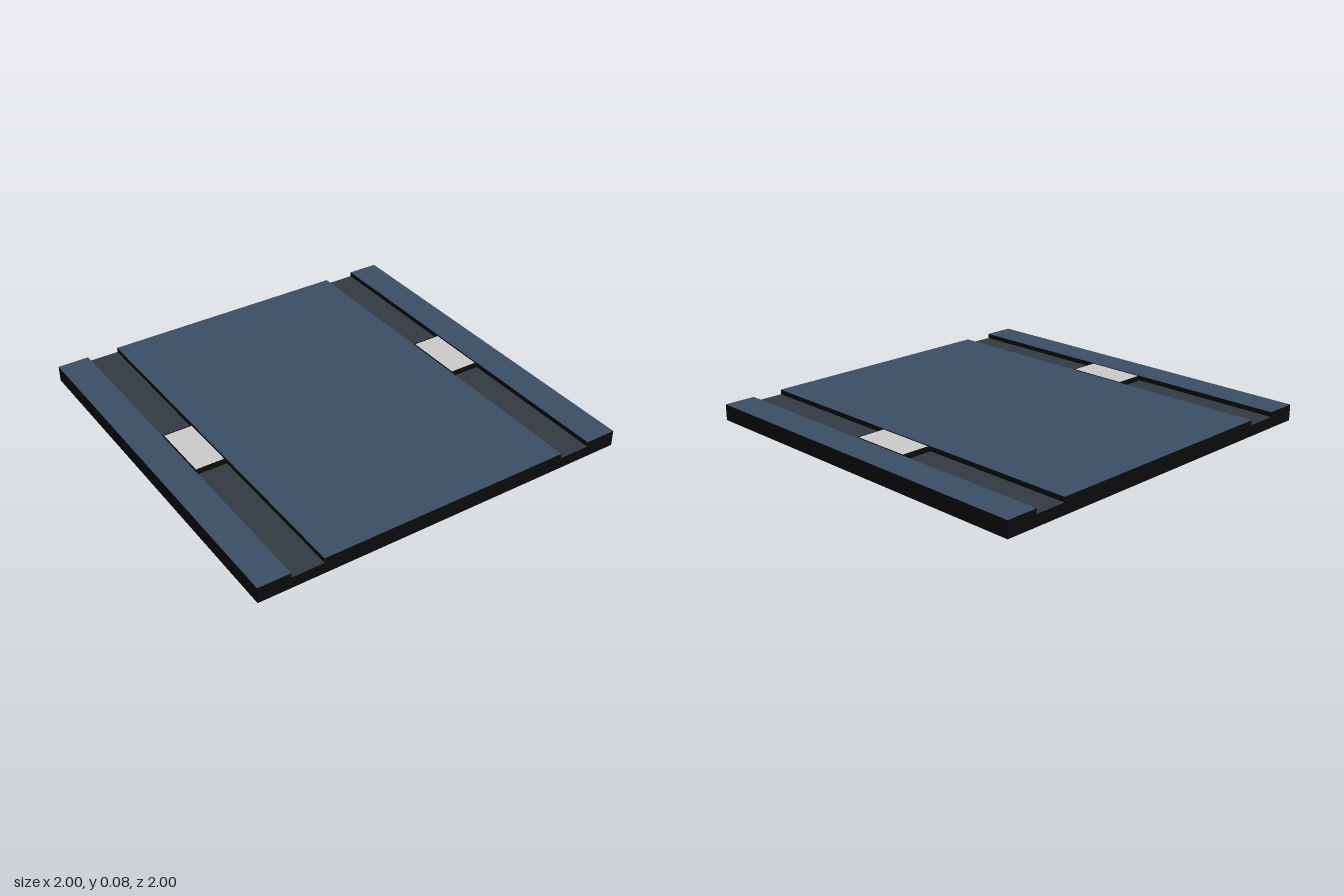
import * as THREE from 'three';

// Layout unit: the tile is 24 units square and 1 unit thick.
const U = 2 / 24;
const LIFT = 0.0015; // coloured surfaces sit just above the dark body

const material = (color) => new THREE.MeshStandardMaterial({ color });

export function createModel() {
  const group = new THREE.Group();
  const dark = material(0x0b0b0b);
  const blue = material(0x3a4e66);
  const slate = material(0x343a43);
  const pale = material(0xc8c8c8);

  const top = U - LIFT;
  const floor = 0.7 * U - LIFT;
  const inner = 8 * U, outer = 10 * U;

  const add = (name, geometry, mat, x, y, z) => {
    const mesh = new THREE.Mesh(geometry, mat);
    mesh.name = name;
    mesh.position.set(x, y, z);
    group.add(mesh);
  };

  // Flat coloured surface spanning x0..x1, centred on z = 0
  const surface = (name, x0, x1, depth, y, mat) =>
    add(name, new THREE.PlaneGeometry(x1 - x0, depth).rotateX(-Math.PI / 2), mat, (x0 + x1) / 2, y, 0);

  // Slab body with two channels running front to back
  const profile = new THREE.Shape([
    [-1, 0], [1, 0], [1, top], [outer, top], [outer, floor], [inner, floor], [inner, top],
    [-inner, top], [-inner, floor], [-outer, floor], [-outer, top], [-1, top],
  ].map(([x, y]) => new THREE.Vector2(x, y)));
  add('slabBody', new THREE.ExtrudeGeometry(profile, { depth: 2, bevelEnabled: false }), dark, 0, 0, -1);

  surface('centreTop', -inner, inner, 2, U, blue);

  for (const [side, s] of [['left', 1], ['right', -1]]) {
    const span = (a, b) => (s > 0 ? [a, b] : [-b, -a]);
    surface(side + 'EdgeTop', ...span(outer, 1), 2, U, blue);
    surface(side + 'ChannelFloor', ...span(inner, outer), 2, floor + LIFT, slate);

    // Block filling the channel, with a pale inset panel on top
    const height = top - floor;
    add(side + 'Block', new THREE.BoxGeometry(2 * U, height, 4 * U), dark, s * 9 * U, floor + height / 2, 0);
    surface(side + 'BlockPanel', ...span(inner + 0.1 * U, outer - 0.1 * U), 3.8 * U, U, pale);
  }
  return group;
}
